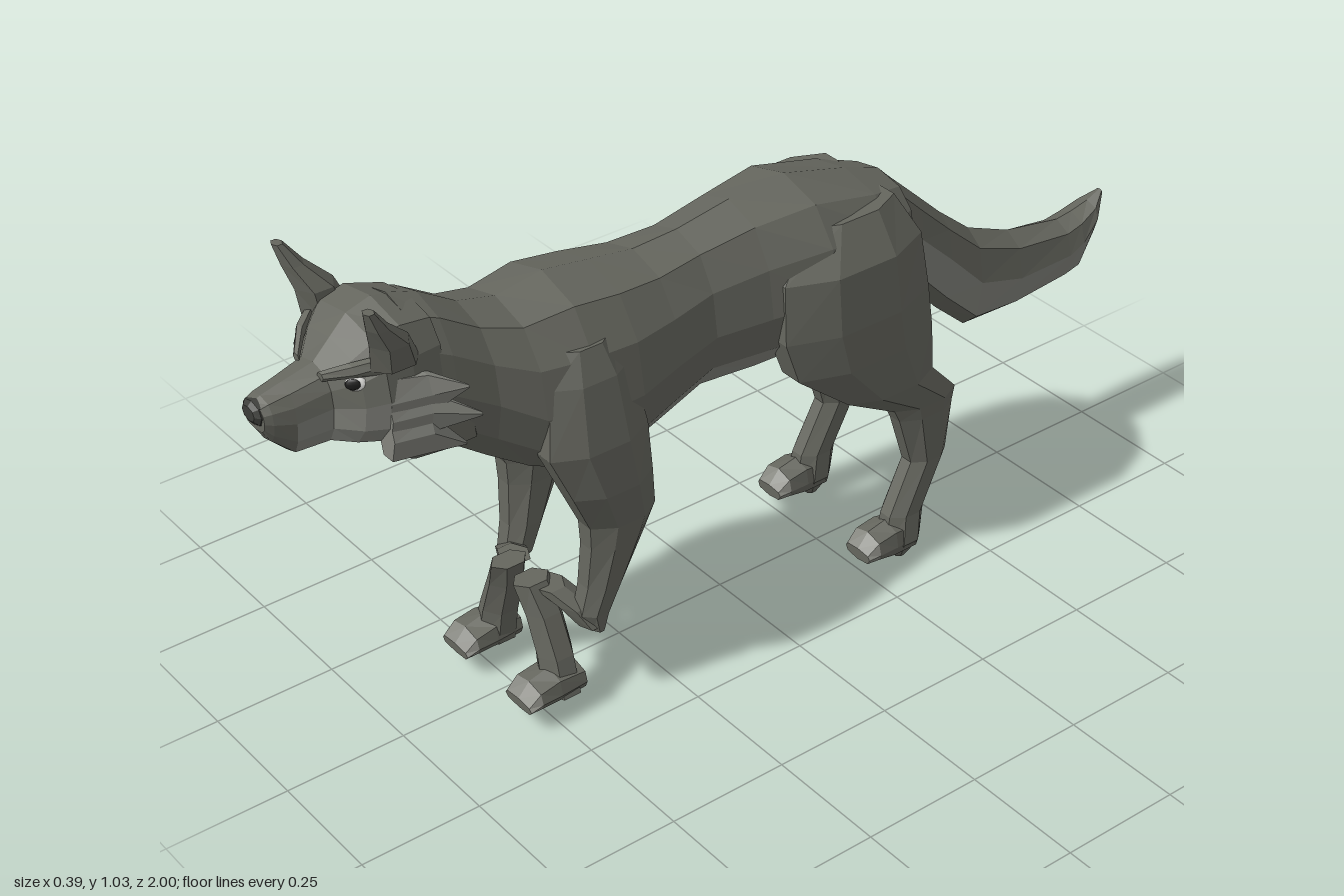
import * as THREE from 'three';

const mat = (name, hex) => { const m = new THREE.MeshStandardMaterial({ color: hex }); m.name = name; return m; };

// Faceted closed skin over a list of rings; light(j, i) picks the second material
function loft(name, rings, mats, light = () => false) {
  const tris = [[], []];
  const n = rings[0].length;
  rings.slice(1).forEach((b, j) => {
    const a = rings[j];
    for (let i = 0; i < n; i++) {
      const k = (i + 1) % n;
      tris[light(j, i) ? 1 : 0].push([a[i], a[k], b[k]], [a[i], b[k], b[i]]);
    }
  });
  const cap = (ring, flip) => {
    const c = ring.reduce((s, p) => s.add(p), new THREE.Vector3()).divideScalar(n);
    ring.forEach((p, i) => {
      const q = ring[(i + 1) % n];
      tris[0].push(flip ? [c, q, p] : [c, p, q]);
    });
  };
  cap(rings[0], true);
  cap(rings[rings.length - 1], false);
  // turn all faces outward
  const all = [...tris[0], ...tris[1]];
  const volume = all.reduce((s, [a, b, c]) => s + a.dot(b.clone().cross(c)), 0);
  if (volume < 0) all.forEach(t => t.reverse());
  const g = new THREE.BufferGeometry().setFromPoints(all.flat());
  g.addGroup(0, tris[0].length * 3, 0);
  g.addGroup(tris[0].length * 3, tris[1].length * 3, 1);
  g.computeVertexNormals();
  const mesh = new THREE.Mesh(g, mats);
  mesh.name = name;
  return mesh;
}

// Upright slice at z: top, bottom, half width, height of the widest point
function slice(z, top, bot, w, mid, n = 12, x = 0, round = 0.8) {
  return Array.from({ length: n }, (_, i) => {
    const a = i / n * Math.PI * 2, c = Math.cos(a), s = Math.sin(a);
    return new THREE.Vector3(
      x + w * Math.sign(c) * Math.pow(Math.abs(c), round),
      mid + s * (s > 0 ? top - mid : mid - bot), z);
  });
}

// Level ring at height y around (x, z)
function level(y, x, z, rx, rz, n = 8) {
  return Array.from({ length: n }, (_, i) => {
    const a = (i + 0.5) / n * Math.PI * 2;
    return new THREE.Vector3(x + 1.06 * rx * Math.cos(a), y, z + 1.06 * rz * Math.sin(a));
  });
}

export function createModel() {
  const group = new THREE.Group();
  const fur = mat('grey fur', 0x65665e);
  const pale = mat('pale fur', 0x83847d);
  const dark = mat('dark nose', 0x3c3d39);
  const white = mat('eye white', 0xe6e6e2);
  const black = mat('pupil', 0x1c1c1b);
  const coat = [fur, pale];

  // Trunk and neck, with a pale belly
  group.add(loft('body', [
    [-0.41, 0.79, 0.66, 0.05, 0.73], [-0.385, 0.815, 0.6, 0.11, 0.72],
    [-0.3, 0.845, 0.56, 0.155, 0.7], [-0.15, 0.885, 0.54, 0.165, 0.69],
    [-0.02, 0.875, 0.53, 0.135, 0.68], [0.1, 0.855, 0.535, 0.12, 0.68],
    [0.2, 0.85, 0.505, 0.14, 0.67], [0.3, 0.865, 0.48, 0.165, 0.66],
    [0.4, 0.88, 0.485, 0.17, 0.66], [0.5, 0.865, 0.53, 0.15, 0.68],
    [0.58, 0.885, 0.58, 0.125, 0.73], [0.66, 0.935, 0.64, 0.12, 0.78],
    [0.72, 0.955, 0.69, 0.115, 0.82],
  ].map(r => slice(...r)), coat, (j, i) => j >= 3 && j < 7 && i >= 7 && i <= 10));

  // Head and muzzle, with pale cheeks
  group.add(loft('head', [
    [0.68, 0.94, 0.7, 0.11, 0.83], [0.75, 0.96, 0.71, 0.132, 0.83],
    [0.8, 0.945, 0.715, 0.13, 0.83], [0.835, 0.91, 0.72, 0.105, 0.82],
    [0.87, 0.875, 0.725, 0.058, 0.81], [0.935, 0.86, 0.725, 0.047, 0.8],
    [0.975, 0.85, 0.765, 0.04, 0.81], [0.99, 0.843, 0.79, 0.035, 0.815],
  ].map(r => slice(...r, 12, 0, 0.6)), coat, (j, i) => j < 5 && (i === 6 || i === 11 || i === 7 || i === 10)));

  group.add(loft('nose', [
    [0.97, 0.848, 0.8, 0.032, 0.825], [0.992, 0.846, 0.8, 0.03, 0.825], [1, 0.838, 0.81, 0.02, 0.825],
  ].map(r => slice(...r, 8)), [dark, dark]));

  // Hanging chest ruff
  group.add(loft('chestRuff', [
    [0.78, 0, 0.67, 0.115, 0.08], [0.68, 0, 0.655, 0.115, 0.075], [0.605, 0, 0.685, 0.01, 0.01],
  ].map(r => level(...r)), coat));

  // Tail with a keel below and a pale underside
  group.add(loft('tail', [
    [-0.36, 0.82, 0.75, 0.03, 0.79], [-0.41, 0.79, 0.61, 0.035, 0.71],
    [-0.475, 0.73, 0.52, 0.04, 0.64], [-0.55, 0.66, 0.44, 0.045, 0.57],
    [-0.63, 0.595, 0.37, 0.052, 0.49], [-0.74, 0.55, 0.375, 0.052, 0.46],
    [-0.88, 0.525, 0.39, 0.048, 0.46], [-0.92, 0.53, 0.395, 0.045, 0.475],
    [-0.965, 0.54, 0.47, 0.035, 0.51], [-1, 0.555, 0.54, 0.008, 0.548],
  ].map(r => slice(...r, 8)), coat, (j, i) => i === 4 || i === 7));

  for (const s of [1, -1]) {
    const side = s > 0 ? 'left' : 'right';
    const lv = (y, x, ...r) => level(y, s * x, ...r);

    // Front leg: upper part, wrist and lower part set inward
    group.add(loft(side + 'FrontLeg', [
      [0.79, 0.105, 0.4, 0.04, 0.06], [0.73, 0.12, 0.4, 0.05, 0.09],
      [0.6, 0.14, 0.4, 0.055, 0.11], [0.5, 0.146, 0.375, 0.052, 0.09],
      [0.41, 0.133, 0.345, 0.047, 0.075], [0.36, 0.132, 0.355, 0.043, 0.062],
      [0.27, 0.126, 0.38, 0.04, 0.042], [0.21, 0.123, 0.4, 0.036, 0.034],
      [0.17, 0.135, 0.4, 0.02, 0.012],
    ].map(r => lv(...r)), coat));
    group.add(loft(side + 'Wrist', [
      [0.18, 0.125, 0.41, 0.03, 0.02], [0.22, 0.1, 0.425, 0.035, 0.03], [0.25, 0.055, 0.45, 0.035, 0.03],
    ].map(r => lv(...r, 6)), coat));
    group.add(loft(side + 'FrontShin', [
      [0.26, 0.036, 0.475, 0.026, 0.037], [0.2, 0.06, 0.467, 0.033, 0.036],
      [0.12, 0.09, 0.465, 0.038, 0.036], [0.045, 0.107, 0.467, 0.045, 0.036],
    ].map(r => lv(...r, 6)), coat));

    // Hind leg with hock
    group.add(loft(side + 'HindLeg', [
      [0.82, 0.08, -0.23, 0.05, 0.11], [0.74, 0.11, -0.21, 0.07, 0.17],
      [0.62, 0.122, -0.215, 0.068, 0.18], [0.53, 0.128, -0.235, 0.062, 0.17],
      [0.43, 0.133, -0.3, 0.05, 0.11], [0.36, 0.133, -0.395, 0.04, 0.08],
      [0.33, 0.133, -0.4, 0.037, 0.07], [0.22, 0.135, -0.41, 0.034, 0.046],
      [0.11, 0.138, -0.355, 0.035, 0.045], [0.05, 0.14, -0.345, 0.042, 0.045],
      [0, 0.14, -0.35, 0.012, 0.012],
    ].map(r => lv(...r)), coat));

    // Paws with pale toes
    const paw = (name, x, rows) => group.add(loft(side + name,
      rows.map(r => slice(...r, 8, s * x, 0.5)), coat, j => j === 2));
    paw('FrontPaw', 0.105, [[0.43, 0.09, 0.04, 0.04, 0.06], [0.49, 0.1, 0.04, 0.045, 0.06],
      [0.535, 0.088, 0.04, 0.046, 0.06], [0.56, 0.06, 0.04, 0.042, 0.05]]);
    paw('HindPaw', 0.14, [[-0.37, 0.09, 0.02, 0.035, 0.05], [-0.31, 0.1, 0.025, 0.042, 0.055],
      [-0.265, 0.09, 0.035, 0.042, 0.055], [-0.24, 0.06, 0.035, 0.036, 0.05]]);

    // Ear
    group.add(loft(side + 'Ear', [
      [0.89, 0.108, 0.775, 0.03, 0.045], [0.945, 0.117, 0.79, 0.037, 0.036],
      [0.99, 0.133, 0.82, 0.024, 0.02], [1.03, 0.143, 0.84, 0.012, 0.01],
    ].map(r => lv(...r, 6)), coat));

    // Swept-back cheek tufts
    [[0.172, 0.77, 0.65], [0.14, 0.7, 0.665], [0.165, 0.83, 0.67]].forEach(([x, y, z], i) => {
      const by = 0.79 + (y - 0.77) * 0.6;
      group.add(loft(side + 'CheekTuft' + (i + 1), [
        slice(0.8, by + 0.05, by - 0.05, 0.025, by, 6, s * 0.105),
        slice(0.73, by + 0.04, by - 0.05, 0.025, by, 6, s * 0.122),
        slice(z, y + 0.004, y - 0.004, 0.004, y, 6, s * x),
      ], [pale, pale]));
    });

    // Slanted brow and eye
    const eye = new THREE.Group();
    eye.name = side + 'Eye';
    const disc = (name, m, r, flat, x, z) => {
      const d = new THREE.Mesh(new THREE.SphereGeometry(r, 8, 6), m);
      d.name = name;
      d.scale.set(1, 0.75, flat);
      d.position.set(x, 0, z);
      eye.add(d);
    };
    disc('eyeWhite', white, 0.019, 0.3, 0, 0);
    disc('pupil', black, 0.014, 0.3, -s * 0.004, 0.004);
    eye.position.set(s * 0.088, 0.865, 0.842);
    eye.rotation.set(-0.2, s * 0.85, s * 0.25);
    group.add(eye);
    group.add(loft(side + 'Brow', [
      slice(0.8, 0.915, 0.88, 0.012, 0.9, 6, s * 0.112),
      slice(0.845, 0.9, 0.875, 0.014, 0.885, 6, s * 0.08),
      slice(0.88, 0.876, 0.86, 0.01, 0.868, 6, s * 0.038),
    ], coat));
  }
  return group;
}
